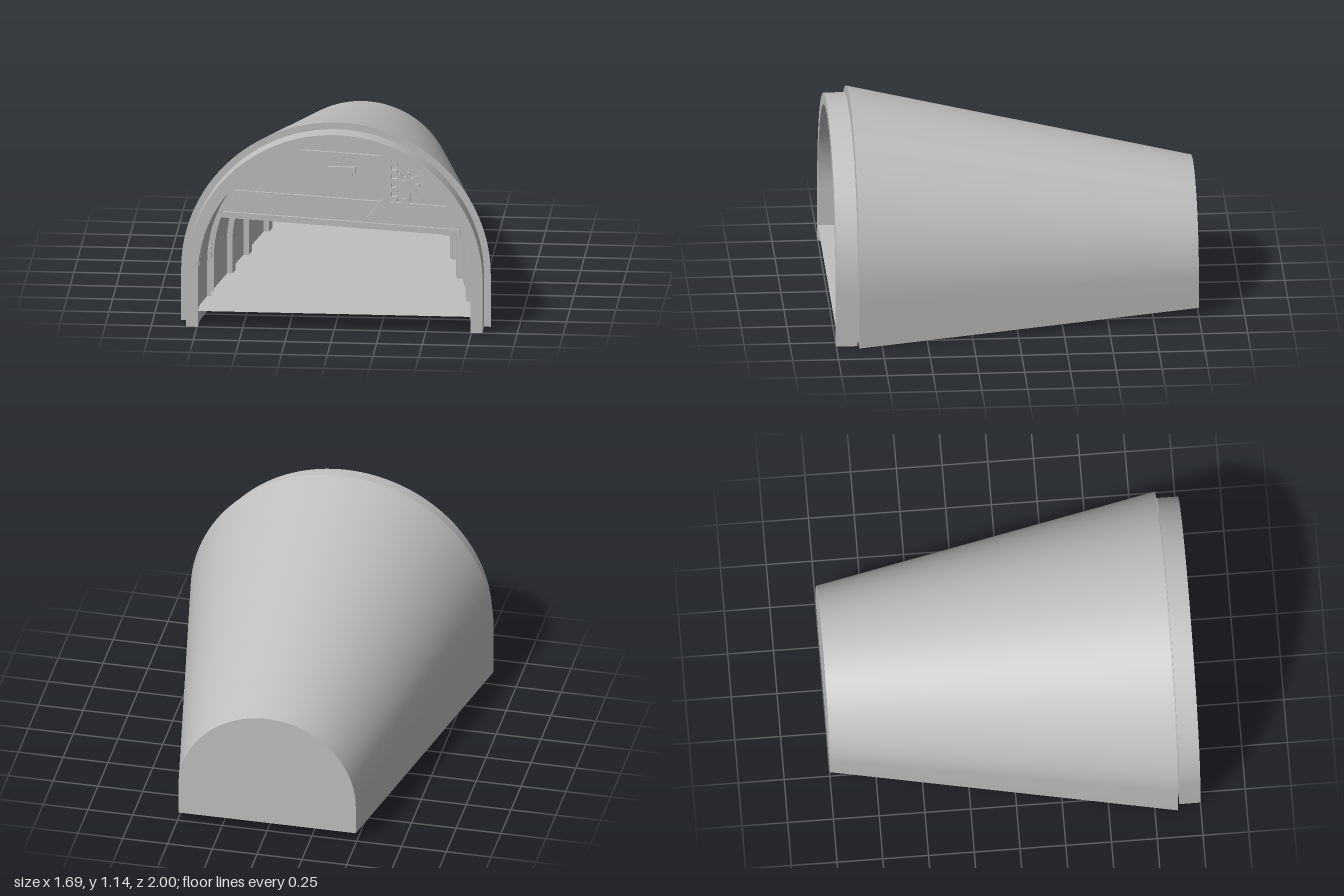
import * as THREE from 'three';
import { toCreasedNormals } from 'three/addons/utils/BufferGeometryUtils.js';

const grey = new THREE.MeshStandardMaterial({ color: 0xc0c0c0, side: THREE.DoubleSide });
grey.name = 'plain grey';

// tunnel taper: each dimension as a linear rule of z
const innerR = (z) => 0.435 + 0.165 * (z + 1);
const outerR = (z) => 0.495 + 0.187 * (z + 1);
const spring = (z) => 0.22 + 0.04 * (z + 1);
const bottom = (z) => Math.max(0, 0.05 * (0.87 - z) / 1.87);

function add(parent, name, geometry) {
  const mesh = new THREE.Mesh(geometry, grey);
  mesh.name = name;
  parent.add(mesh);
  return mesh;
}

// bend a box into an arch with two straight legs
function archBand(z0, z1, rIn, rOut, springAt = spring, bottomAt = bottom) {
  const arc = 64;
  const n = arc + 2;
  const geo = new THREE.BoxGeometry(1, 1, 1, n, 1, 1);
  const p = geo.attributes.position;
  for (let i = 0; i < p.count; i++) {
    const k = Math.round((p.getX(i) + 0.5) * n);
    const z = p.getZ(i) > 0 ? z1 : z0;
    const r = p.getY(i) > 0 ? rOut(z) : rIn(z);
    if (k === 0 || k === n) {
      p.setXYZ(i, k === 0 ? -r : r, bottomAt(z), z);
    } else {
      const a = Math.PI * (1 - (k - 1) / arc);
      p.setXYZ(i, r * Math.cos(a), springAt(z) + r * Math.sin(a), z);
    }
  }
  return toCreasedNormals(geo, 0.5);
}

const outline = (points) => new THREE.Shape(points.map(([x, y]) => new THREE.Vector2(x, y)));

// flat plate cut from a list of points
function plate(points, z0, z1) {
  const geo = new THREE.ExtrudeGeometry(outline(points), { depth: z1 - z0, bevelEnabled: false });
  return geo.translate(0, 0, z0);
}

// round-ended bar between two points
function link(ax, ay, bx, by, r, z0, z1) {
  const a = Math.atan2(by - ay, bx - ax);
  const pts = [];
  for (let i = 0; i <= 10; i++) {
    const t = a - Math.PI / 2 + (i / 10) * Math.PI;
    pts.push([bx + r * Math.cos(t), by + r * Math.sin(t)]);
  }
  for (let i = 0; i <= 10; i++) {
    const t = a + Math.PI / 2 + (i / 10) * Math.PI;
    pts.push([ax + r * Math.cos(t), ay + r * Math.sin(t)]);
  }
  return plate(pts, z0, z1);
}

export function createModel() {
  const model = new THREE.Group();
  model.name = 'taperedTunnel';

  // tapered shell, front collar and the thin neck between them
  add(model, 'shell', archBand(-1, 0.876, innerR, outerR));
  const fixed = () => 0.295, ground = () => 0;
  add(model, 'frontCollar', archBand(0.885, 1, () => 0.745, () => 0.81, fixed, ground));
  add(model, 'neck', archBand(0.872, 0.888, () => 0.744, () => 0.747, fixed, ground));

  // back wall
  const wall = [[-0.49, 0.05], [0.49, 0.05]];
  for (let i = 0; i <= 64; i++) {
    const a = (i / 64) * Math.PI;
    wall.push([0.49 * Math.cos(a), 0.22 + 0.49 * Math.sin(a)]);
  }
  add(model, 'backWall', plate(wall, -1, -0.99));

  // level floor, a single sheet raised above the shell's lower edge
  const floor = new THREE.ShapeGeometry(outline([[-0.745, -1], [0.745, -1], [0.745, -0.88],
    [0.437, 0.99], [-0.437, 0.99], [-0.745, -0.88]]));
  add(model, 'floor', floor.rotateX(-Math.PI / 2)).position.y = 0.09;

  // inner ribs, and a pair of rails holding the gate
  const ribs = [[0.23, 0.035], [-0.14, 0.035], [-0.6, 0.035]];
  for (const [z, half] of ribs) {
    add(model, 'rib', archBand(z - half, z + half, (d) => innerR(d) - 0.03, (d) => innerR(d) + 0.02));
  }
  for (const [z, r] of [[0.61, 0.687], [0.695, 0.697]]) {
    add(model, 'gateRail', archBand(z - 0.0125, z + 0.0125, () => r, (d) => innerR(d) + 0.02));
  }

  // gate assembly: round-topped panel with its fittings
  const gate = new THREE.Group();
  gate.name = 'gate';
  gate.position.z = 0.04;
  model.add(gate);

  // panel turned slightly about the arch centre
  const leaf = new THREE.Group();
  leaf.name = 'gateLeaf';
  leaf.position.y = 0.287;
  leaf.rotation.z = -0.058;
  gate.add(leaf);
  const R = 0.71, chord = 0.207, start = Math.asin(chord / R);
  const segment = [];
  for (let i = 0; i <= 48; i++) {
    const a = start + (i / 48) * (Math.PI - 2 * start);
    segment.push([R * Math.cos(a), R * Math.sin(a)]);
  }
  add(leaf, 'gatePanel', plate(segment, 0.59, 0.63));
  for (const [y0, y1] of [[0.207, 0.24], [0.333, 0.367], [0.6, 0.625]]) {
    const w0 = Math.sqrt(0.476 - y0 * y0), w1 = Math.sqrt(0.476 - y1 * y1);
    add(leaf, 'gateBatten', plate([[-w0, y0], [w0, y0], [w1, y1], [-w1, y1]], 0.625, 0.645));
  }

  // latch boss with a crossbar
  const boss = new THREE.CylinderGeometry(0.06, 0.06, 0.02, 32).rotateX(Math.PI / 2);
  add(gate, 'latchBoss', boss).position.set(0.015, 0.775, 0.637);
  add(gate, 'latchBar', new THREE.BoxGeometry(0.15, 0.04, 0.02)).position.set(0.015, 0.812, 0.636);

  // rack with a bent foot and teeth
  add(gate, 'rack', plate([[0.25, 0.94], [0.24, 0.66], [0.155, 0.55], [0.185, 0.52],
    [0.29, 0.66], [0.29, 0.92]], 0.628, 0.655));
  for (let i = 0; i < 5; i++) {
    add(gate, 'rackTooth', new THREE.BoxGeometry(0.04, 0.024, 0.024)).position.set(0.3, 0.66 + i * 0.05, 0.641);
  }

  // pinion, crank and stay
  const teeth = 9, gear = [];
  for (let i = 0; i < teeth; i++) {
    [[-0.3, 0.05], [-0.17, 0.076], [0.17, 0.076], [0.3, 0.05]].forEach(([o, r]) => {
      const a = ((i + o) / teeth) * Math.PI * 2;
      gear.push([0.367 + r * Math.cos(a), 0.735 + r * Math.sin(a)]);
    });
  }
  add(gate, 'pinion', plate(gear, 0.628, 0.65));
  add(gate, 'crank', link(0.367, 0.74, 0.367, 0.655, 0.027, 0.63, 0.665));
  add(gate, 'crankPin', new THREE.CylinderGeometry(0.016, 0.016, 0.02, 20).rotateX(Math.PI / 2))
    .position.set(0.367, 0.655, 0.668);
  add(gate, 'stay', link(0.41, 0.76, 0.51, 0.82, 0.018, 0.628, 0.648));

  return model;
}
